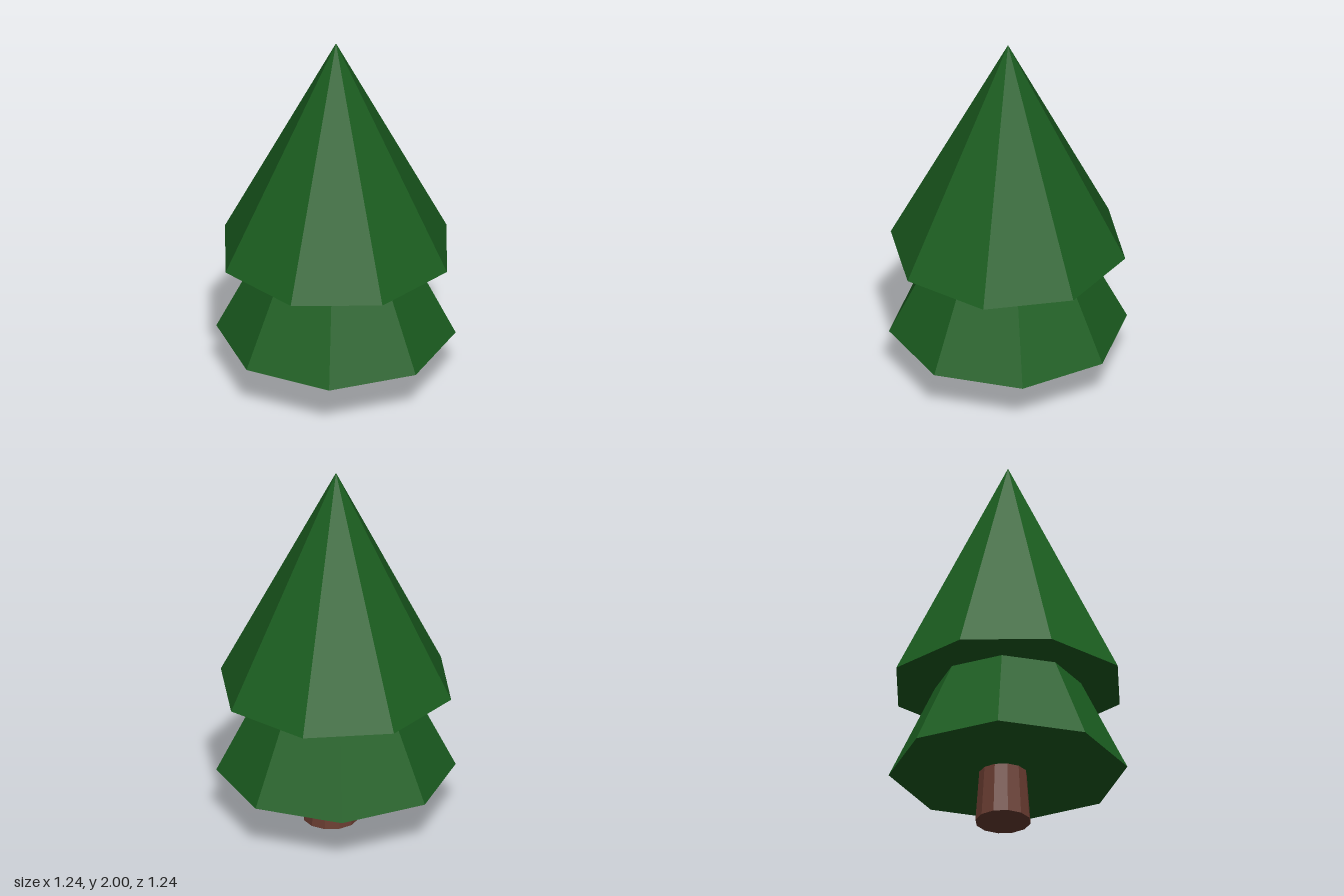
import * as THREE from 'three';

export function createModel() {
  const tree = new THREE.Group();
  tree.name = 'pineTree';
  const foliage = new THREE.MeshStandardMaterial({ color: 0x1b5e20, flatShading: true });
  const bark = new THREE.MeshStandardMaterial({ color: 0x6b3e32, flatShading: true });

  // Closed tapered part standing on baseY
  function tapered(name, material, rTop, rBase, height, sides, baseY, turn = 0) {
    const geometry = new THREE.CylinderGeometry(rTop, rBase, height, sides);
    const mesh = new THREE.Mesh(geometry, material);
    mesh.name = name;
    mesh.position.y = baseY + height / 2;
    mesh.rotation.y = turn;
    tree.add(mesh);
    return mesh;
  }

  // Trunk, slightly off centre, running up into the lower tier
  tapered('trunk', bark, 0.11, 0.145, 0.48, 12, 0).position.x = 0.04;

  // Two eight-sided foliage tiers, the upper one twisted
  tapered('lowerFoliage', foliage, 0, 0.62, 1.25, 8, 0.275);
  tapered('upperFoliage', foliage, 0, 0.62, 1.24, 8, 0.76, -0.33);

  return tree;
}
